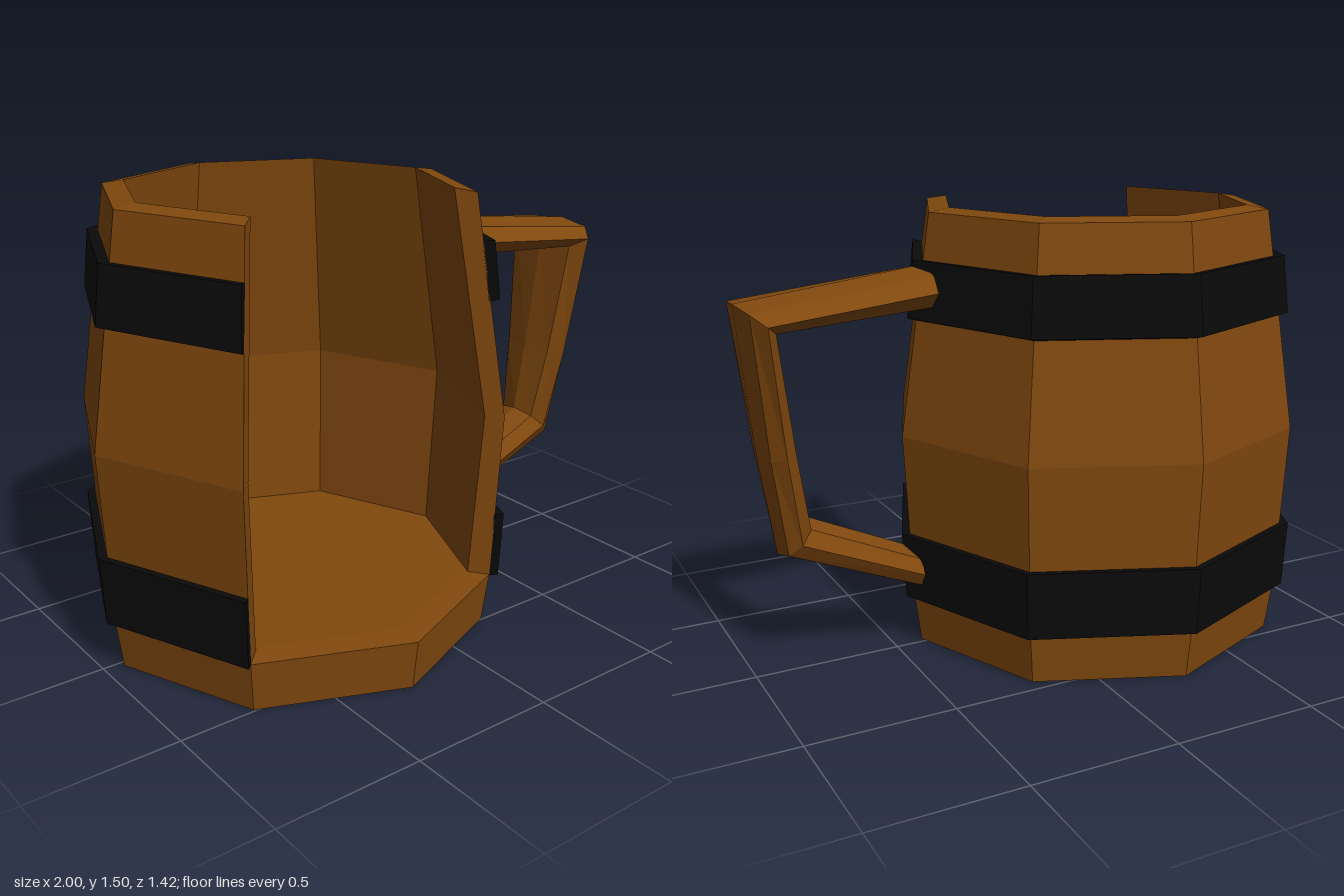
import * as THREE from 'three';
import { mergeGeometries } from 'three/addons/utils/BufferGeometryUtils.js';

const SIDES = 8;
const STEP = (Math.PI * 2) / SIDES;

// Faceted copy of a geometry with hard normals
function facet(geometry) {
  const g = geometry.index ? geometry.toNonIndexed() : geometry;
  g.deleteAttribute('uv');
  g.computeVertexNormals();
  return g;
}

// Sweeps a closed [radius, y] profile round the back six sides and caps both ends
function openRing(profile) {
  const pts = profile.map(([r, y]) => new THREE.Vector2(r, y));
  const start = STEP, length = STEP * 6;
  const sweep = new THREE.LatheGeometry([...pts, pts[0]], 6, start, length);
  const startCap = new THREE.ShapeGeometry(new THREE.Shape(pts));
  const endCap = startCap.clone();
  endCap.setIndex(Array.from(endCap.index.array).reverse());
  startCap.rotateY(start - Math.PI / 2);
  endCap.rotateY(start + length - Math.PI / 2);
  return mergeGeometries([sweep, startCap, endCap].map(facet));
}

// Octagonal bar through rings given as [outerX, outerY, innerX, innerY, halfWidth]
function bar(rings) {
  const pos = [], index = [];
  const add = (x, y, z) => pos.push(x, y, z);
  for (const [ox, oy, ix, iy, w] of rings) {
    for (let k = 0; k < SIDES; k++) {
      const c = Math.cos(k * STEP) / 2, s = Math.sin(k * STEP);
      add((ox + ix) / 2 + c * (ox - ix), (oy + iy) / 2 + c * (oy - iy), s * w);
    }
  }
  for (let i = 0; i < rings.length - 1; i++) {
    for (let k = 0; k < SIDES; k++) {
      const a = i * SIDES + k, b = i * SIDES + ((k + 1) % SIDES);
      index.push(a, b, a + SIDES, b, b + SIDES, a + SIDES);
    }
  }
  const last = (rings.length - 1) * SIDES;
  for (let k = 1; k < SIDES - 1; k++) {
    index.push(0, k + 1, k, last, last + k, last + k + 1);
  }
  const g = new THREE.BufferGeometry();
  g.setAttribute('position', new THREE.Float32BufferAttribute(pos, 3));
  g.setIndex(index);
  return facet(g);
}

export function createModel() {
  const wood = new THREE.MeshStandardMaterial({ color: 0x80480e });
  wood.name = 'brown wood';
  const iron = new THREE.MeshStandardMaterial({ color: 0x0a0a0a });
  iron.name = 'black iron';

  const group = new THREE.Group();
  group.name = 'openTankard';
  const part = (name, geometry, material) => {
    const mesh = new THREE.Mesh(geometry, material);
    mesh.name = name;
    mesh.position.set(-0.268, 0, 0.022);
    group.add(mesh);
    return mesh;
  };

  // Solid base with a slightly sloped lip
  const base = [[0, 0], [0.667, 0], [0.69, 0.172], [0.6, 0.18], [0, 0.18]];
  part('base', facet(new THREE.LatheGeometry(
    base.map(([r, y]) => new THREE.Vector2(r, y)), SIDES)), wood);

  // Bulging wall, open at the front
  part('wall', openRing([
    [0.69, 0.172], [0.72, 0.75], [0.608, 1.493],
    [0.535, 1.505], [0.655, 0.75], [0.615, 0.172],
  ]), wood);

  // Iron bands
  part('lowerBand', openRing([
    [0.685, 0.17], [0.719, 0.173], [0.731, 0.403], [0.698, 0.4],
  ]), iron);
  part('upperBand', openRing([
    [0.655, 1.14], [0.69, 1.15], [0.668, 1.342], [0.628, 1.338],
  ]), iron);

  // Handle, wide at the top corner and narrow at the foot
  const handle = part('handle', bar([
    [0.37, 1.325, 0.38, 1.18, 0.153],
    [1.0, 1.247, 0.888, 1.155, 0.19],
    [0.952, 0.76, 0.833, 0.77, 0.148],
    [0.9, 0.41, 0.79, 0.52, 0.108],
    [0.425, 0.217, 0.42, 0.35, 0.105],
  ]), wood);
  handle.position.x = 0;

  return group;
}
